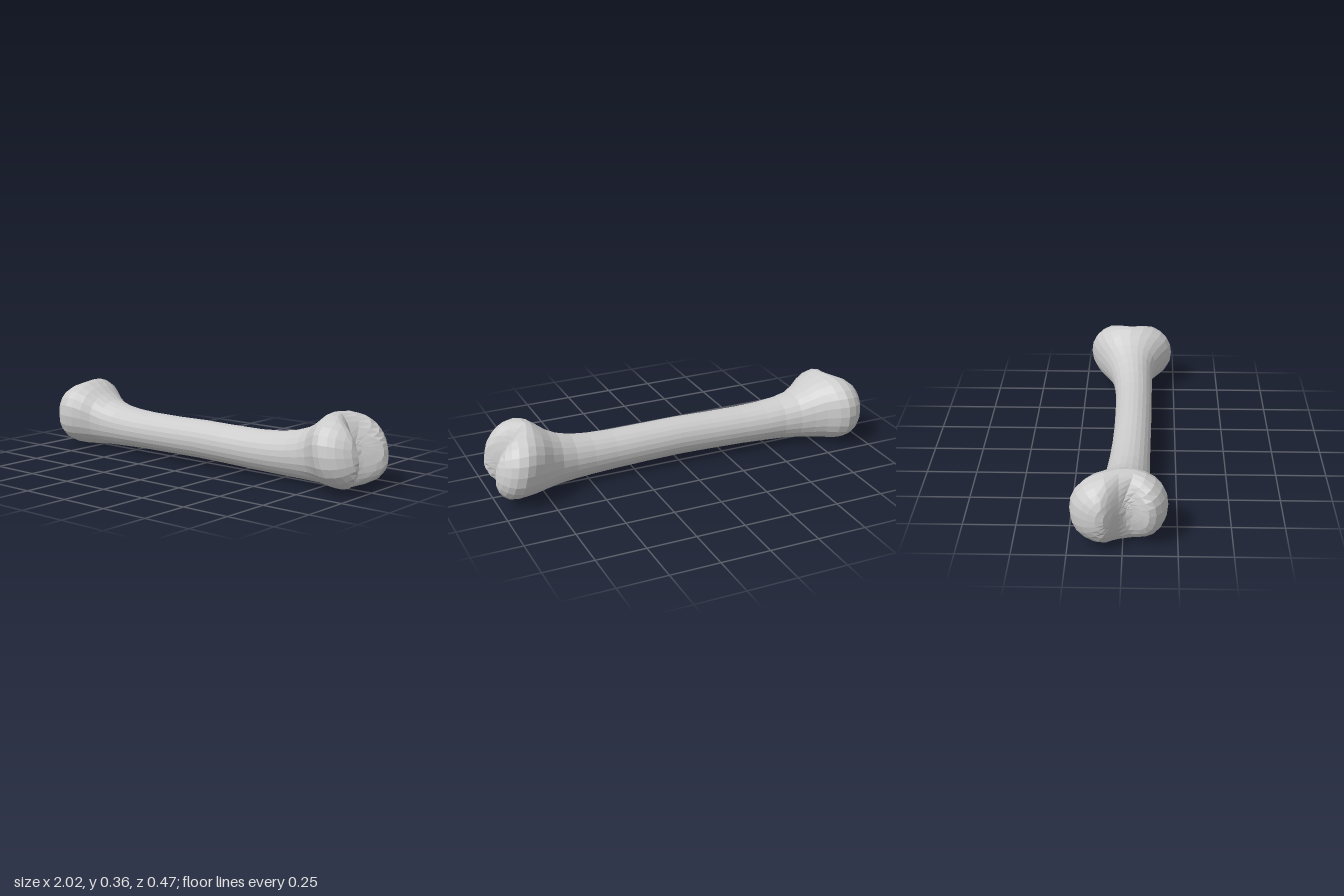
import * as THREE from 'three';

const SIDES = 24;
const { smoothstep } = THREE.MathUtils;

// Cross-sections along the bone: x, bottom y, top y, back z, front z
const SECTIONS = [
  [-0.86, 0.004, 0.355, -0.24, 0.205],
  [-0.82, 0.005, 0.347, -0.222, 0.197],
  [-0.77, 0.009, 0.325, -0.182, 0.175],
  [-0.72, 0.013, 0.293, -0.15, 0.147],
  [-0.66, 0.017, 0.263, -0.122, 0.128],
  [-0.58, 0.021, 0.245, -0.1, 0.12],
  [-0.48, 0.026, 0.233, -0.09, 0.12],
  [-0.36, 0.03, 0.228, -0.08, 0.12],
  [-0.18, 0.033, 0.228, -0.07, 0.122],
  [0, 0.035, 0.232, -0.065, 0.124],
  [0.18, 0.032, 0.23, -0.065, 0.126],
  [0.36, 0.027, 0.23, -0.067, 0.126],
  [0.48, 0.024, 0.237, -0.075, 0.126],
  [0.58, 0.021, 0.252, -0.088, 0.126],
  [0.66, 0.019, 0.275, -0.108, 0.13],
  [0.72, 0.017, 0.302, -0.14, 0.146],
  [0.78, 0.015, 0.338, -0.185, 0.185],
  [0.83, 0.014, 0.362, -0.21, 0.222],
  [0.87, 0.013, 0.369, -0.22, 0.235],
];

// Knuckle ends: bulge at the groove, extra bulge at the lobes, tilt by y and z
const LEFT = { groove: 0.08, lobe: 0.075, tiltY: 0.02, tiltZ: 0.09, mid: 0.02 };
const RIGHT = { groove: 0.06, lobe: 0.095, tiltY: -0.2, tiltZ: -0.05, mid: 0.005 };
const CAP_STEPS = [1, 0.96, 0.88, 0.76, 0.62, 0.46, 0.3, 0.15, 0];

// One ring of the skin; f < 1 shrinks it onto the two-lobed end
function ring([x, y0, y1, z0, z1], f = 1) {
  const end = x < 0 ? LEFT : RIGHT;
  const swell = smoothstep(Math.abs(x), 0.55, 0.86);
  const power = 2 / (2 + 0.3 * swell);
  const points = [];
  for (let i = 0; i < SIDES; i++) {
    const a = (i / SIDES) * Math.PI * 2;
    const c = Math.cos(a), s = Math.sin(a);
    const dy = f * Math.sign(s) * Math.abs(s) ** power * (y1 - y0) / 2;
    const dz = f * Math.sign(c) * Math.abs(c) ** power * (z1 - z0) / 2;
    const z = (z0 + z1) / 2 + dz;
    const lobe = smoothstep(Math.abs(z - end.mid), 0, 0.13);
    const bulge = (end.groove + end.lobe * lobe) * Math.sqrt(1 - f * f);
    const tilt = swell * (end.tiltY * dy + end.tiltZ * dz);
    // a shallow notch carries the groove over the rim
    const notch = 0.025 * (1 - lobe) * smoothstep(Math.abs(x), 0.8, 0.86);
    points.push([x + tilt + Math.sign(x) * (bulge - notch), (y0 + y1) / 2 + dy, z]);
  }
  return points;
}

// Joins consecutive rings into a closed skin
function loft(rings) {
  const positions = rings.flat(2);
  const index = [];
  const last = rings.length - 2;
  for (let r = 0; r <= last; r++) {
    for (let i = 0; i < SIDES; i++) {
      const j = (i + 1) % SIDES;
      const a = r * SIDES + i, b = r * SIDES + j;
      const c = a + SIDES, d = b + SIDES;
      if (r < last) index.push(a, c, b);
      else index.push(a, c, b);
      if (r > 0 && r < last) index.push(b, c, d);
      else if (r === 0) index.splice(-3, 3, a, c, d);
    }
  }
  const geometry = new THREE.BufferGeometry();
  geometry.setAttribute('position', new THREE.Float32BufferAttribute(positions, 3));
  geometry.setIndex(index);
  geometry.computeVertexNormals();
  return geometry;
}

export function createModel() {
  const group = new THREE.Group();
  group.name = 'bone';

  const first = SECTIONS[0], final = SECTIONS[SECTIONS.length - 1];
  const rings = [
    ...CAP_STEPS.slice(1).reverse().map((f) => ring(first, f)),
    ...SECTIONS.map((section) => ring(section)),
    ...CAP_STEPS.slice(1).map((f) => ring(final, f)),
  ];

  const material = new THREE.MeshStandardMaterial({ color: 0xcccccc, flatShading: true });
  const bone = new THREE.Mesh(loft(rings), material);
  bone.name = 'shaftAndKnuckles';
  group.add(bone);
  return group;
}
